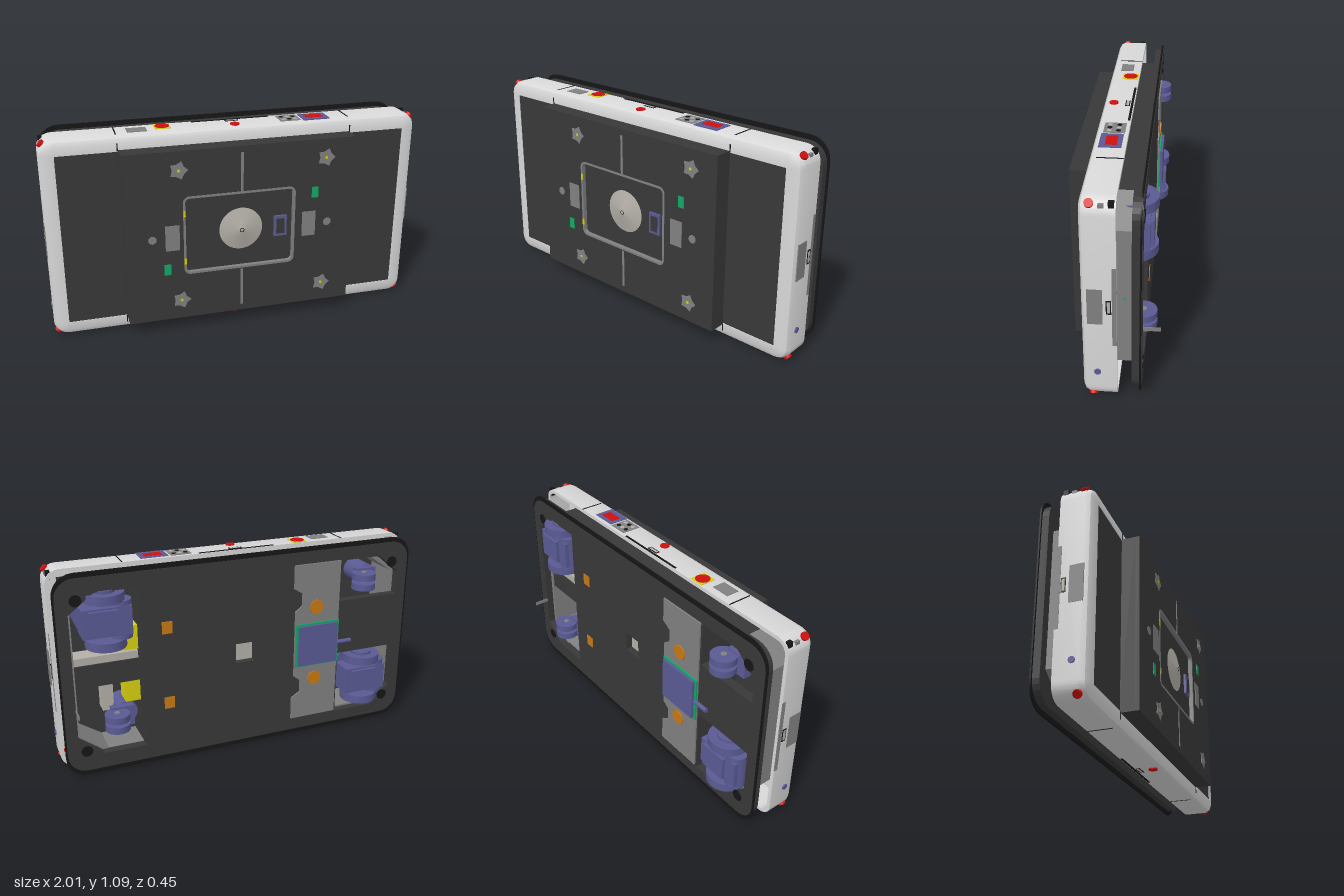
import * as THREE from 'three';
import { toCreasedNormals } from 'three/addons/utils/BufferGeometryUtils.js';

const paint = (name, color) => Object.assign(new THREE.MeshStandardMaterial({ color }), { name });
const CY = 0.547; // height of the middle of the vehicle

// Rounded rectangle as a counter-clockwise list of points
function roundedLoop(cx, cy, hw, hh, r, steps = 6) {
  const pts = [];
  const corners = [[1, 1], [-1, 1], [-1, -1], [1, -1]];
  corners.forEach(([sx, sy], k) => {
    for (let i = 0; i <= steps; i++) {
      const a = (k + i / steps) * Math.PI / 2;
      pts.push(new THREE.Vector2(cx + sx * (hw - r) + r * Math.cos(a), cy + sy * (hh - r) + r * Math.sin(a)));
    }
  });
  return pts;
}

// Sweeps a closed [inset, z] profile around a rounded rectangle
function sweepRing(cx, cy, hw, hh, r, profile) {
  const loops = profile.map(([s, z]) => roundedLoop(cx, cy, hw - s, hh - s, Math.max(r - s, 0.004))
    .map(p => [p.x, p.y, z]));
  const pos = [];
  loops.forEach((A, j) => {
    const B = loops[(j + 1) % loops.length];
    A.forEach((a, i) => {
      const n = (i + 1) % A.length;
      pos.push(...a, ...A[n], ...B[n], ...a, ...B[n], ...B[i]);
    });
  });
  const g = new THREE.BufferGeometry();
  g.setAttribute('position', new THREE.Float32BufferAttribute(pos, 3));
  return toCreasedNormals(g, 0.5);
}

// Flat plate with holes between two z values
function plate(points, holes, z0, z1) {
  const v = l => l.map(p => (p.isVector2 ? p : new THREE.Vector2(...p)));
  const shape = new THREE.Shape(v(points));
  holes.forEach(h => shape.holes.push(new THREE.Path(v(h))));
  return new THREE.ExtrudeGeometry(shape, { depth: z1 - z0, bevelEnabled: false }).translate(0, 0, z0);
}

// Rectangle with cut corners
const octagon = (x0, x1, y0, y1, cx, cy = cx) => [[x0 + cx, y0], [x1 - cx, y0], [x1, y0 + cy], [x1, y1 - cy],
  [x1 - cx, y1], [x0 + cx, y1], [x0, y1 - cy], [x0, y0 + cy]];

export function createModel() {
  const model = new THREE.Group();
  const white = paint('white shell', 0xd8d8d8), dark = paint('dark panel', 0x383838);
  const black = paint('black', 0x161616), gray = paint('gray metal', 0x808080);
  const light = paint('light metal', 0xb4b0a8), red = paint('red', 0xd01010);
  const violet = paint('violet', 0x5a5a94), green = paint('green', 0x10a868);
  const yellow = paint('yellow', 0xd8d010), orange = paint('orange', 0xc87814);

  const add = (name, mat, geo, x = 0, y = 0, z = 0, parent = model) => {
    const m = new THREE.Mesh(geo, mat);
    m.name = name;
    m.position.set(x, y, z);
    parent.add(m);
    return m;
  };
  const box = (name, mat, w, h, d, x, y, z, parent) => add(name, mat, new THREE.BoxGeometry(w, h, d), x, y, z, parent);
  const disc = (name, mat, r, len, axis, x, y, z, parent, sides = 28) => {
    const g = new THREE.CylinderGeometry(r, r, len, sides);
    if (axis === 'z') g.rotateX(Math.PI / 2);
    if (axis === 'x') g.rotateZ(Math.PI / 2);
    return add(name, mat, g, x, y, z, parent);
  };

  // Outer shell and front panel
  add('shell', white, sweepRing(0, CY, 1, 0.54, 0.075,
    [[0, -0.03], [0, 0.095], [0.012, 0.118], [0.035, 0.13], [0.078, 0.13], [0.078, 0.1], [0.02, 0.1], [0.02, -0.03]]));
  box('frontPanel', dark, 1.86, 0.95, 0.02, 0, CY, 0.117);
  for (const s of [-1, 1]) {
    for (const e of [-1, 1]) {
      box('shellSeam', black, 0.006, 0.004, 0.125, s * 0.615, CY + e * 0.54, 0.033);
      box('shellSeamFront', black, 0.006, 0.04, 0.004, s * 0.615, CY + e * 0.484, 0.13);
    }
  }

  // Lifting deck with recessed centre
  box('deckBase', dark, 1.225, 0.94, 0.08, 0, CY, 0.16);
  add('deckTop', dark, plate([[-0.6125, 0.077], [0.6125, 0.077], [0.6125, 1.017], [-0.6125, 1.017]],
    [roundedLoop(-0.01, 0.553, 0.3, 0.217, 0.035)], 0.2, 0.221));
  add('turntableFrame', gray, sweepRing(-0.01, 0.553, 0.302, 0.219, 0.035,
    [[0, 0.2], [0, 0.223], [0.012, 0.223], [0.012, 0.2]]));
  add('turntableCone', light, new THREE.ConeGeometry(0.13, 0.03, 40).rotateX(Math.PI / 2), 0, 0.555, 0.212);
  disc('turntableHub', black, 0.012, 0.006, 'z', 0, 0.555, 0.222);
  box('reader', violet, 0.07, 0.115, 0.015, 0.215, 0.55, 0.205);
  box('readerWindow', dark, 0.045, 0.085, 0.004, 0.215, 0.55, 0.213);
  for (const y of [0.22, 0.875]) box('deckSlot', gray, 0.014, 0.215, 0.004, 0, y, 0.221);
  for (const y of [0.41, 0.68]) box('frameMarker', yellow, 0.012, 0.035, 0.005, -0.305, y, 0.222);

  // Fittings on the deck: star knobs, covers and sensors
  const star = new THREE.Shape(Array.from({ length: 10 }, (_, i) => {
    const a = i * Math.PI / 5, r = i % 2 ? 0.034 : 0.05;
    return new THREE.Vector2(r * Math.cos(a), r * Math.sin(a));
  }));
  const starGeo = new THREE.ExtrudeGeometry(star, { depth: 0.004, bevelEnabled: false });
  for (const x of [-0.33, 0.455]) for (const y of [0.185, 0.915]) {
    add('starKnob', gray, starGeo, x, y, 0.22);
    disc('starKnobPin', yellow, 0.008, 0.006, 'z', x, y, 0.222, model, 12);
  }
  for (const s of [-1, 1]) {
    box('deckCover', gray, 0.075, 0.14, 0.004, s * 0.37, 0.55, 0.222);
    disc('deckSensor', gray, 0.022, 0.004, 'z', s * 0.475, 0.55, 0.222, model, 12);
    box('deckConnector', green, 0.036, 0.06, 0.005, s * 0.4, 0.55 + s * 0.177, 0.222);
  }

  // Inner body: dark core and hollow chamfered wall
  box('core', dark, 1.12, 0.92, 0.2, 0, CY, 0.005);
  add('innerWall', gray, plate(octagon(-0.93, 0.93, 0.077, 1.017, 0.16, 0.11),
    [octagon(-0.905, 0.905, 0.1, 0.994, 0.152, 0.104)], -0.1, 0.1));
  for (const e of [-1, 1]) box('innerSideCover', dark, 1.54, 0.006, 0.13, 0, CY + e * 0.47, -0.035);

  // Chassis plate with wheel openings and rubber lip
  add('chassisPlate', dark, plate(roundedLoop(0, CY, 0.98, 0.52, 0.1), [
    [[0.565, 0.11], [0.79, 0.11], [0.92, 0.21], [0.92, 0.885], [0.79, 0.985], [0.565, 0.985]],
    [[-0.565, 0.09], [-0.565, 0.455], [-0.92, 0.455], [-0.92, 0.2], [-0.8, 0.09]],
    [[-0.565, 0.765], [-0.565, 0.995], [-0.8, 0.995], [-0.92, 0.895], [-0.92, 0.765]],
    [[-0.055, 0.495], [0.055, 0.495], [0.055, 0.605], [-0.055, 0.605]],
  ], -0.142, -0.095));
  add('rubberLip', black, sweepRing(0, CY, 0.99, 0.545, 0.11,
    [[0, -0.139], [0, -0.131], [0.06, -0.131], [0.06, -0.139]]));
  box('floorWindow', light, 0.11, 0.11, 0.01, 0, 0.55, -0.1);
  box('crossBar', light, 0.34, 0.06, 0.1, 0.74, 0.6, -0.03);
  box('innerPost', light, 0.06, 0.3, 0.08, 0.72, 0.42, 0.06);
  box('divider', dark, 0.34, 0.12, 0.1, 0.74, 0.53, -0.04);
  for (const y of [0.41, 0.7]) box('yellowBracket', yellow, 0.08, 0.13, 0.1, 0.605, y, -0.02);
  for (const x of [-0.88, 0.88]) for (const y of [0.14, 0.955]) disc('cornerSensor', black, 0.03, 0.006, 'z', x, y, -0.142);

  // Notched metal plate, battery module and orange pads
  add('servicePlate', gray, plate([[-0.555, 0.1], [-0.28, 0.1], [-0.28, 0.23], [-0.33, 0.26], [-0.33, 0.33], [-0.29, 0.36],
    [-0.29, 0.74], [-0.33, 0.77], [-0.33, 0.84], [-0.28, 0.87], [-0.28, 1.0], [-0.555, 1.0]], [], -0.15, -0.141));
  box('moduleGasket', green, 0.26, 0.25, 0.012, -0.425, 0.54, -0.152);
  box('module', violet, 0.235, 0.23, 0.03, -0.425, 0.54, -0.157);
  disc('moduleLatch', violet, 0.012, 0.09, 'x', -0.59, 0.53, -0.155, model, 12);
  for (const y of [0.335, 0.755]) {
    disc('roundPad', orange, 0.042, 0.01, 'z', -0.415, y, -0.152, model, 8);
    box('squarePad', orange, 0.055, 0.065, 0.006, 0.43, y, -0.143);
  }
  box('rearTab', gray, 0.004, 0.02, 0.085, 0.92, 0.375, -0.182);

  // Drive units: two wheels, gearbox and slewing flange
  for (const [x, y] of [[0.735, 0.832], [-0.745, 0.275]]) {
    const g = new THREE.Group();
    g.name = 'driveUnit';
    g.position.set(x, y, 0);
    model.add(g);
    for (const e of [-1, 1]) {
      disc('driveWheel', violet, 0.105, 0.046, 'y', 0, e * 0.12, -0.095, g);
      disc('driveHub', violet, 0.06, 0.02, 'y', 0, e * 0.148, -0.095, g);
    }
    box('gearbox', violet, 0.25, 0.15, 0.13, 0, 0, -0.1, g);
    box('gearboxCover', violet, 0.15, 0.13, 0.02, 0.02, 0, -0.172, g);
    disc('motor', violet, 0.055, 0.2, 'y', -0.08, 0, -0.11, g);
    disc('slewFlange', violet, 0.14, 0.1, 'z', 0, 0, 0.04, g);
  }

  // Swivel casters with twin wheels
  for (const [x, y] of [[0.68, 0.277], [-0.74, 0.865]]) {
    const g = new THREE.Group();
    g.name = 'caster';
    g.position.set(x, y, 0);
    model.add(g);
    for (const e of [-1, 1]) disc('casterWheel', violet, 0.065, 0.036, 'y', 0.03, e * 0.027, -0.135, g);
    disc('casterAxle', gray, 0.015, 0.1, 'y', 0.03, 0, -0.135, g, 12);
    box('casterFork', violet, 0.12, 0.11, 0.04, -0.01, 0, -0.075, g);
    disc('casterSwivel', violet, 0.06, 0.15, 'z', -0.04, 0, 0.025, g);
  }

  // Controls on the upper side
  const top = 1.087;
  box('speakerGrille', gray, 0.1, 0.006, 0.07, -0.505, top, 0.045);
  box('switchPlate', yellow, 0.08, 0.006, 0.085, -0.37, top, 0.018);
  disc('mainSwitch', red, 0.037, 0.012, 'y', -0.37, top, 0.018);
  box('switchHandle', red, 0.018, 0.014, 0.06, -0.37, top + 0.001, 0.018);
  box('buttonPanel', gray, 0.11, 0.005, 0.105, 0.3, top, 0.04);
  for (let i = 0; i < 6; i++) {
    disc('panelButton', i % 2 ? light : black, 0.012, 0.008, 'y', 0.268 + (i % 3) * 0.032, top, 0.02 + (i > 2 ? 0.045 : 0), model, 14);
  }
  box('screenFrame', violet, 0.145, 0.006, 0.108, 0.44, top, 0.045);
  box('screen', red, 0.095, 0.009, 0.055, 0.44, top, 0.042);

  // Stop buttons, pull handles and slots on both long sides
  for (const e of [-1, 1]) {
    const y = CY + e * 0.54;
    disc('stopButton', red, 0.024, 0.012, 'y', 0, y, 0.075);
    box('edgeSlot', black, 0.42, 0.004, 0.012, 0, y, -0.02);
    box('pullHandleRim', black, 0.07, 0.004, 0.024, 0, y, 0.003);
    box('pullHandle', light, 0.058, 0.006, 0.014, 0, y, 0.003);
  }

  // End faces: grille, handle, key knob, connectors and corner lamps
  for (const s of [-1, 1]) {
    box('endGrille', gray, 0.005, 0.19, 0.07, s, 0.55, 0.067);
    box('endStep', gray, 0.004, 0.425, 0.02, s * 0.999, 0.547, -0.02);
    box('endHandleRim', black, 0.004, 0.075, 0.024, s, 0.55, 0.005);
    box('endHandle', light, 0.007, 0.06, 0.014, s, 0.55, 0.005);
    disc('keyKnob', violet, 0.016, 0.012, 'x', s, 0.175, 0.06, model, 10);
    box('wallSensor', green, 0.008, 0.012, 0.012, s * 0.93, 0.55, -0.06);
    box('cornerSocket', black, 0.02, 0.045, 0.025, s * 0.978, 1.058, -0.01);
    box('cornerGrille', gray, 0.02, 0.025, 0.025, s * 0.979, 1.055, 0.033);
    for (const e of [-1, 1]) {
      const lamp = disc('cornerLamp', red, 0.02, 0.035, 'x', s * 0.972, CY + e * 0.514, 0.083, model, 20);
      lamp.rotation.z = s * e * Math.PI / 4;
    }
  }
  return model;
}
